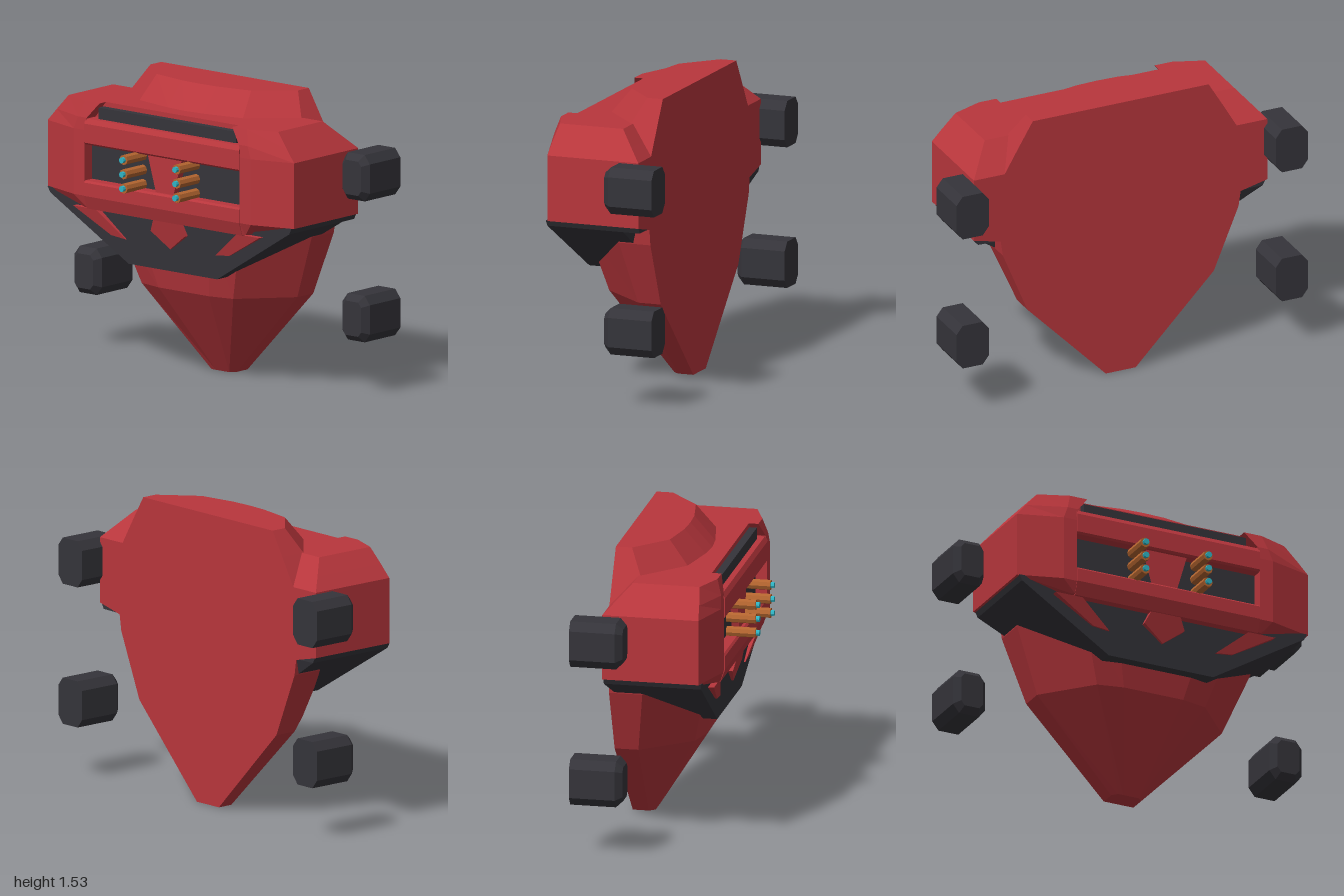
import * as THREE from 'three';

const red = new THREE.MeshStandardMaterial({ color: 0xb8363c, flatShading: true, name: 'red armour' });
const dark = new THREE.MeshStandardMaterial({ color: 0x35343a, flatShading: true, name: 'dark grey' });
const copper = new THREE.MeshStandardMaterial({ color: 0xb4652f, flatShading: true, name: 'copper' });
const teal = new THREE.MeshStandardMaterial({ color: 0x2fb4c4, flatShading: true, name: 'teal' });

// Solid through matching rings of 3D points, closed by flat caps; axis is the stacking direction
function loft(rings, axis) {
  const n = rings[0].length, pos = rings.flat(2), idx = [];
  for (let r = 0; r < rings.length - 1; r++)
    for (let i = 0; i < n; i++) {
      const a = r * n + i, b = r * n + (i + 1) % n;
      idx.push(a, b, b + n, a, b + n, a + n);
    }
  const [u, v] = [0, 1, 2].filter((k) => k !== axis);
  const area = (ring) => ring.reduce((s, p, i) => {
    const q = ring[(i + 1) % n];
    return s + p[u] * q[v] - q[u] * p[v];
  }, 0);
  const cap = (ring, start, flip) => {
    const flat = ring.map((p) => new THREE.Vector2(p[u], p[v]));
    const ccw = area(ring) > 0;
    for (const t of THREE.ShapeUtils.triangulateShape(flat, [])) {
      const [a, b, c] = t.map((k) => flat[k]);
      const pos2 = (b.x - a.x) * (c.y - a.y) - (b.y - a.y) * (c.x - a.x) > 0;
      const [i, j, k] = pos2 === ccw ? t : [t[0], t[2], t[1]];
      if (flip) idx.push(start + i, start + k, start + j);
      else idx.push(start + i, start + j, start + k);
    }
  };
  cap(rings[0], 0, true);
  cap(rings[rings.length - 1], (rings.length - 1) * n, false);
  // Turn the faces outwards using the signed volume
  let vol = 0;
  const P = (i) => new THREE.Vector3().fromArray(pos, i * 3);
  for (let i = 0; i < idx.length; i += 3) vol += P(idx[i]).dot(P(idx[i + 1]).cross(P(idx[i + 2])));
  if (vol < 0) idx.reverse();
  const g = new THREE.BufferGeometry();
  g.setAttribute('position', new THREE.Float32BufferAttribute(pos, 3));
  g.setIndex(idx);
  const out = g.toNonIndexed();
  out.computeVertexNormals();
  return out;
}

// Completes a right-half outline by mirroring in x
const mirror = (half) => [...half, ...half.filter((p) => p[0] > 0).reverse().map(([x, ...r]) => [-x, ...r])];
// Horizontal ring at height y from half points [x, z]
const level = (y, half) => mirror(half).map(([x, z]) => [x, y, z]);
// Plate from [x, y] points whose front follows a rule in y
const plate = (pts, back, front) =>
  loft([pts.map(([x, y]) => [x, y, back]), pts.map(([x, y]) => [x, y, front(y)])], 2);

export function createModel() {
  const model = new THREE.Group();
  model.name = 'armouredTorso';
  const add = (name, geo, mat, parent = model) => {
    const m = new THREE.Mesh(geo, mat);
    m.name = name;
    parent.add(m);
    return m;
  };

  // Broad chest with a recess across the front
  add('chest', loft([
    level(0.855, [[0.56, -0.275], [0.56, 0.22], [0.545, 0.275], [0.525, 0.28], [0.525, 0.22]]),
    level(0.92, [[0.835, -0.275], [0.835, 0.23], [0.6, 0.3], [0.525, 0.3], [0.525, 0.22]]),
    level(1.265, [[0.835, -0.275], [0.835, 0.23], [0.6, 0.3], [0.525, 0.3], [0.525, 0.22]]),
    level(1.33, [[0.779, -0.214], [0.779, 0.223], [0.575, 0.295], [0.515, 0.295], [0.515, 0.22]]),
    level(1.41, [[0.71, -0.14], [0.71, 0.21], [0.55, 0.27], [0.45, 0.27], [0.45, 0.22]]),
  ], 1), red);

  // Tapered lower body
  add('lowerBody', loft([
    level(0, [[0.085, -0.275], [0.085, -0.19], [0.06, -0.16]]),
    level(0.46, [[0.53, -0.275], [0.53, -0.15], [0.31, 0.1], [0.17, 0.13]]),
    level(0.8, [[0.67, -0.275], [0.67, -0.1], [0.42, 0.18], [0.25, 0.21]]),
    level(1, [[0.7, -0.275], [0.7, -0.08], [0.42, 0.18], [0.25, 0.21]]),
  ].map((r, i) => i ? r : [r[0], r[1], r[2], [0.03, 0, -0.16], [-0.03, 0, -0.16], r[3], r[4], r[5]]), 1), red);

  // Curved collar behind the chest
  add('collar', loft([
    level(1.265, [[0.66, -0.275], [0.66, -0.06], [0.385, 0.18], [0.12, 0.2], [0, 0.21]]),
    level(1.41, [[0.575, -0.275], [0.575, -0.13], [0.35, 0.07], [0.12, 0.115], [0, 0.125]]),
    level(1.535, [[0.5, -0.275], [0.5, -0.19], [0.32, -0.03], [0.12, 0.005], [0, 0.01]]),
  ], 1), red);

  // Dark waist with a sloped front and cut-back rear corners
  const waist = mirror([[0.3, 0.58], [0.81, 0.89], [0.825, 0.92]]);
  add('waist', loft([
    waist.map(([x, y]) => [x, Math.max(y, 0.88), -0.272]),
    waist.map(([x, y]) => [x, y, -0.18]),
    waist.map(([x, y]) => [x, y, 0.215 + (y - 0.58) * 0.08]),
  ], 2), dark);

  // Recessed panel and top slot
  const panel = add('frontPanel', new THREE.BoxGeometry(1.05, 0.24, 0.03), dark);
  panel.position.set(0, 1.1, 0.225);
  const slot = add('topSlot', new THREE.BoxGeometry(0.93, 0.07, 0.06), dark);
  slot.position.set(0, 1.35, 0.23);

  // Red bars above and below the panel, profiles in [z, y]
  const bar = (name, profile) =>
    add(name, loft([-0.525, 0.525].map((x) => profile.map(([z, y]) => [x, y, z])), 0), red);
  bar('upperBar', [[0.2, 1.19], [0.295, 1.19], [0.305, 1.2], [0.305, 1.3], [0.29, 1.325], [0.2, 1.325]]);
  bar('lowerBar', [[0.2, 0.85], [0.28, 0.85], [0.305, 0.92], [0.305, 0.99], [0.295, 1.0], [0.2, 1.0]]);

  // Central wedge and chin badge plates
  add('centreWedge', plate(mirror([[0.06, 1.0], [0.115, 1.19]]), 0.22, () => 0.28), red);
  const slope = (y) => 0.236 + (y - 0.7) * 0.25;
  add('chinPlate', plate(mirror([[0, 0.7], [0.115, 0.785], [0.08, 0.86]]), 0.2, slope), red);
  for (const s of [-1, 1]) {
    const pts = [[0.305, 0.71], [0.4, 0.72], [0.63, 0.85], [0.476, 0.85]];
    add('waistFin', plate(pts.map(([x, y]) => [s * x, y]), 0.2, (y) => slope(y) - 0.005), red);
  }

  // Two columns of three short barrels
  for (const s of [-1, 1])
    for (const y of [1.02, 1.095, 1.17]) {
      const gun = new THREE.Group();
      gun.name = 'barrel';
      gun.position.set(s * 0.18, y, 0);
      gun.rotation.x = Math.PI / 2;
      add('barrelTube', new THREE.CylinderGeometry(0.027, 0.027, 0.175, 8), copper, gun).position.y = 0.3075;
      add('barrelTip', new THREE.CylinderGeometry(0.016, 0.016, 0.03, 8), teal, gun).position.y = 0.398;
      model.add(gun);
    }

  // Four bevelled side pods
  const octagon = (w, h, cx, cy, z) =>
    [[w - cx, -h], [w, cy - h], [w, h - cy], [w - cx, h], [cx - w, h], [-w, h - cy], [-w, cy - h], [cx - w, -h]]
      .map(([x, y]) => [x, y, z]);
  const podGeo = loft([
    octagon(0.092, 0.122, 0.035, 0.045, -0.415),
    octagon(0.092, 0.122, 0.035, 0.045, -0.175),
    octagon(0.062, 0.09, 0.02, 0.025, -0.14),
  ], 2);
  for (const s of [-1, 1])
    for (const y of [0.4, 1.14]) add('sidePod', podGeo, dark).position.set(s * 0.908, y, 0);

  return model;
}
